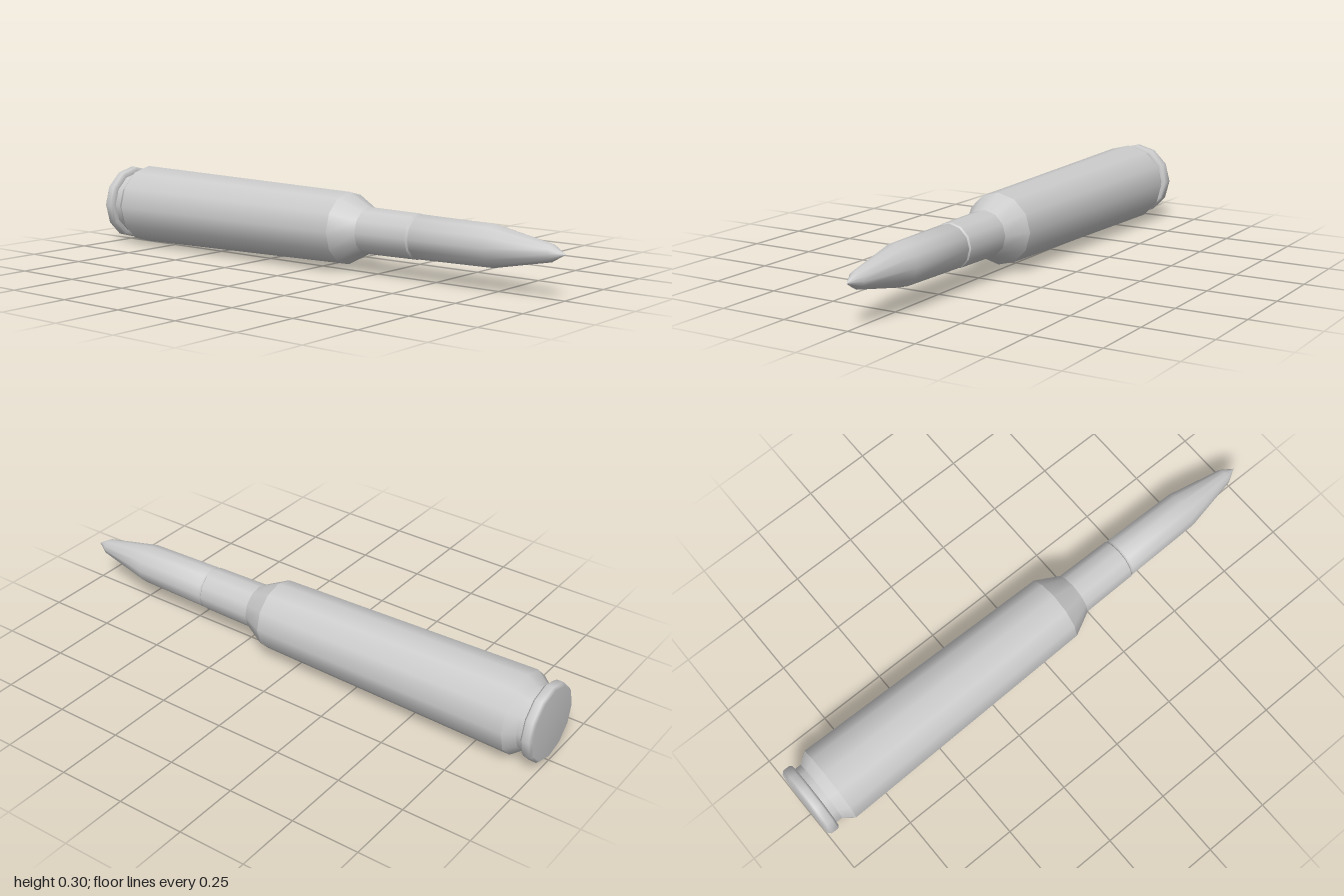
import * as THREE from 'three';
import { mergeGeometries } from 'three/addons/utils/BufferGeometryUtils.js';

const SIDES = 12;
const AXIS_HEIGHT = 0.15;

// Turns a [radius, z] profile around the long axis.
function turned(profile) {
  const points = profile.map(([r, z]) => new THREE.Vector2(r, z));
  return new THREE.LatheGeometry(points, SIDES).rotateX(Math.PI / 2);
}

// Turns each step of the profile separately, so the rings between stay sharp.
function turnedSharp(profile) {
  const bands = profile.slice(1).map((p, i) => turned([profile[i], p]));
  return mergeGeometries(bands);
}

export function createModel() {
  const group = new THREE.Group();
  const material = new THREE.MeshStandardMaterial({ color: 0xcccccc });

  function add(name, geometry) {
    const mesh = new THREE.Mesh(geometry, material);
    mesh.name = name;
    mesh.position.y = AXIS_HEIGHT;
    group.add(mesh);
  }

  // Base disc with bevelled edges
  add('rim', turned([
    [0, -1], [0.132, -1], [0.141, -0.99], [0.141, -0.965], [0.134, -0.957], [0.12, -0.957],
  ]));

  // Recess in front of the rim, flaring out to the body
  add('extractorGroove', turnedSharp([[0.12, -0.957], [0.12, -0.932], [0.15, -0.893]]));

  // Tapered body, shoulder and neck, with the lip turned in
  add('caseBody', turnedSharp([[0.15, -0.893], [0.13, 0.12]]));
  add('shoulder', turnedSharp([[0.13, 0.12], [0.084, 0.21]]));
  add('neck', turnedSharp([[0.084, 0.21], [0.081, 0.423], [0.076, 0.428], [0.076, 0.436]]));

  // Pointed projectile, smooth all over including its rear face
  add('projectile', turned([
    [0, 0.434], [0.079, 0.434], [0.074, 0.73], [0.03, 0.95], [0, 1],
  ]));

  return group;
}
